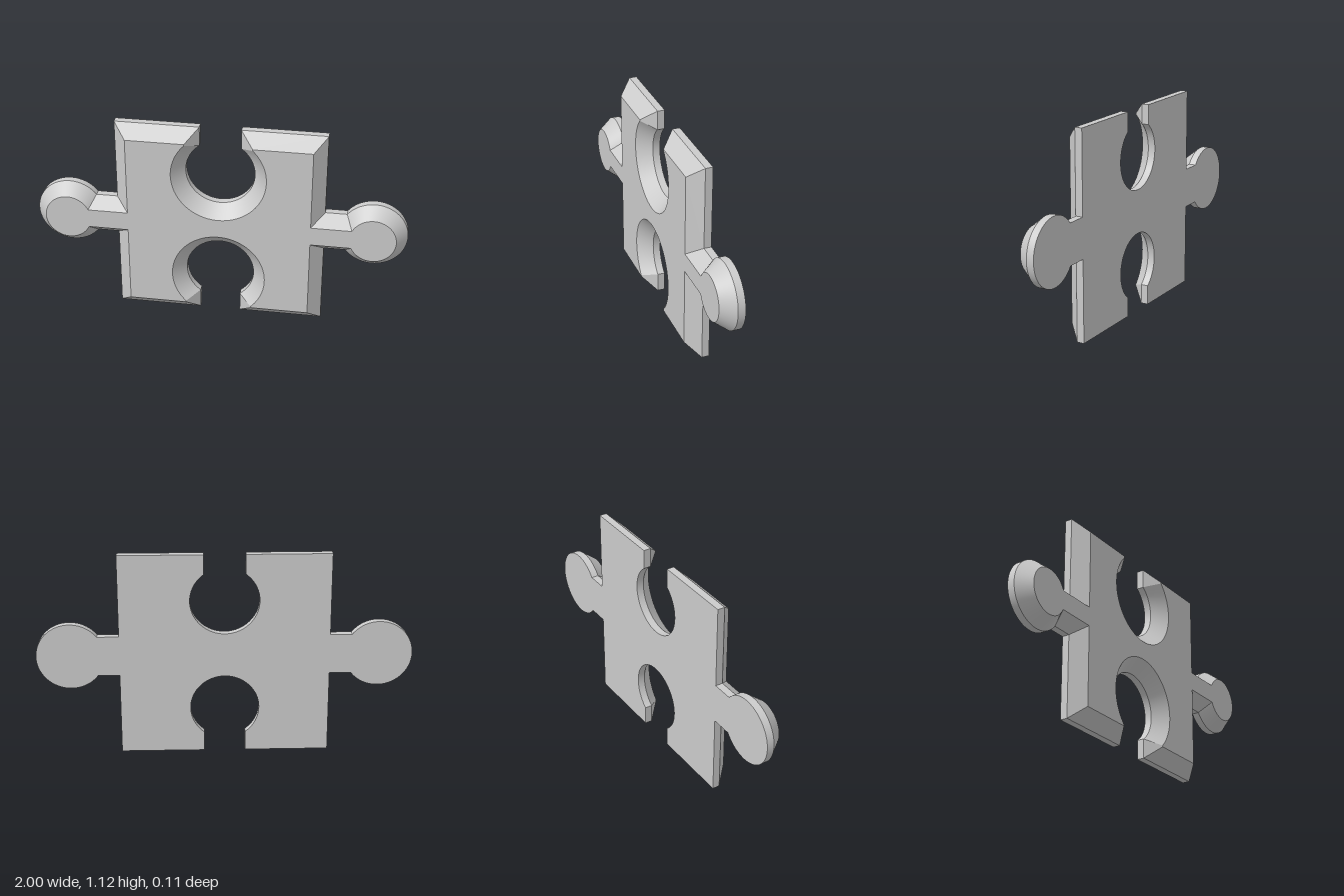
import * as THREE from 'three';
import { toCreasedNormals } from 'three/addons/utils/BufferGeometryUtils.js';

const HALF = 0.56, ARC_STEPS = 64;
const BACK_Z = -0.057, BEVEL_Z = -0.017, FRONT_Z = 0.057, BEVEL = 0.069;

// Points of an arc, both ends included
function arc(cx, cy, r, from, to) {
  return Array.from({ length: ARC_STEPS + 1 }, (_, i) => {
    const t = from + (to - from) * i / ARC_STEPS;
    return new THREE.Vector2(cx + r * Math.cos(t), cy + r * Math.sin(t));
  });
}

// Counter-clockwise outline of the piece, drawn inwards by d
function outline(d) {
  const p = (x, y) => new THREE.Vector2(x, y);
  const h = HALF - d;
  const neck = 0.11 - d * 0.84, knob = 0.181 - d * 0.84;
  const gap = 0.11 + d, socket = 0.184 + d;
  const a = Math.asin(neck / knob), b = Math.asin(gap / socket);
  const half = [
    p(gap, -h), p(h, -h), p(h, -neck),
    ...arc(0.819, 0, knob, a - Math.PI, Math.PI - a),
    p(h, neck), p(h, h), p(gap, h),
    ...arc(0, 0.305, socket, Math.PI / 2 - b, b - Math.PI * 1.5),
  ];
  // The other half is the same turned by 180 degrees
  return [...half, ...half.map((v) => p(-v.x, -v.y))];
}

// Band of faces joining two matching outlines
function band(lower, zLower, upper, zUpper) {
  const pos = [];
  lower.forEach((a, i) => {
    const j = (i + 1) % lower.length;
    const b = lower[j], c = upper[j], d = upper[i];
    pos.push(a.x, a.y, zLower, b.x, b.y, zLower, c.x, c.y, zUpper);
    pos.push(a.x, a.y, zLower, c.x, c.y, zUpper, d.x, d.y, zUpper);
  });
  const g = new THREE.BufferGeometry();
  g.setAttribute('position', new THREE.Float32BufferAttribute(pos, 3));
  return toCreasedNormals(g, 0.4);
}

export function createModel() {
  const group = new THREE.Group();
  group.name = 'puzzlePiece';
  const piece = new THREE.Group();
  piece.name = 'piece';
  piece.position.y = HALF;
  group.add(piece);

  const material = new THREE.MeshStandardMaterial({ color: 0xcccccc });
  const add = (name, geometry) => {
    const mesh = new THREE.Mesh(geometry, material);
    mesh.name = name;
    piece.add(mesh);
    return mesh;
  };

  const outer = outline(0), inner = outline(BEVEL);

  // Straight rim and sloping bevel
  add('rim', band(outer, BACK_Z, outer, BEVEL_Z));
  add('bevel', band(outer, BEVEL_Z, inner, FRONT_Z));

  // Flat front and back
  add('frontFace', new THREE.ShapeGeometry(new THREE.Shape(inner))).position.z = FRONT_Z;
  const back = add('backFace', new THREE.ShapeGeometry(new THREE.Shape(outer)));
  back.rotation.y = Math.PI; // the outline is symmetric left to right
  back.position.z = BACK_Z;

  return group;
}
